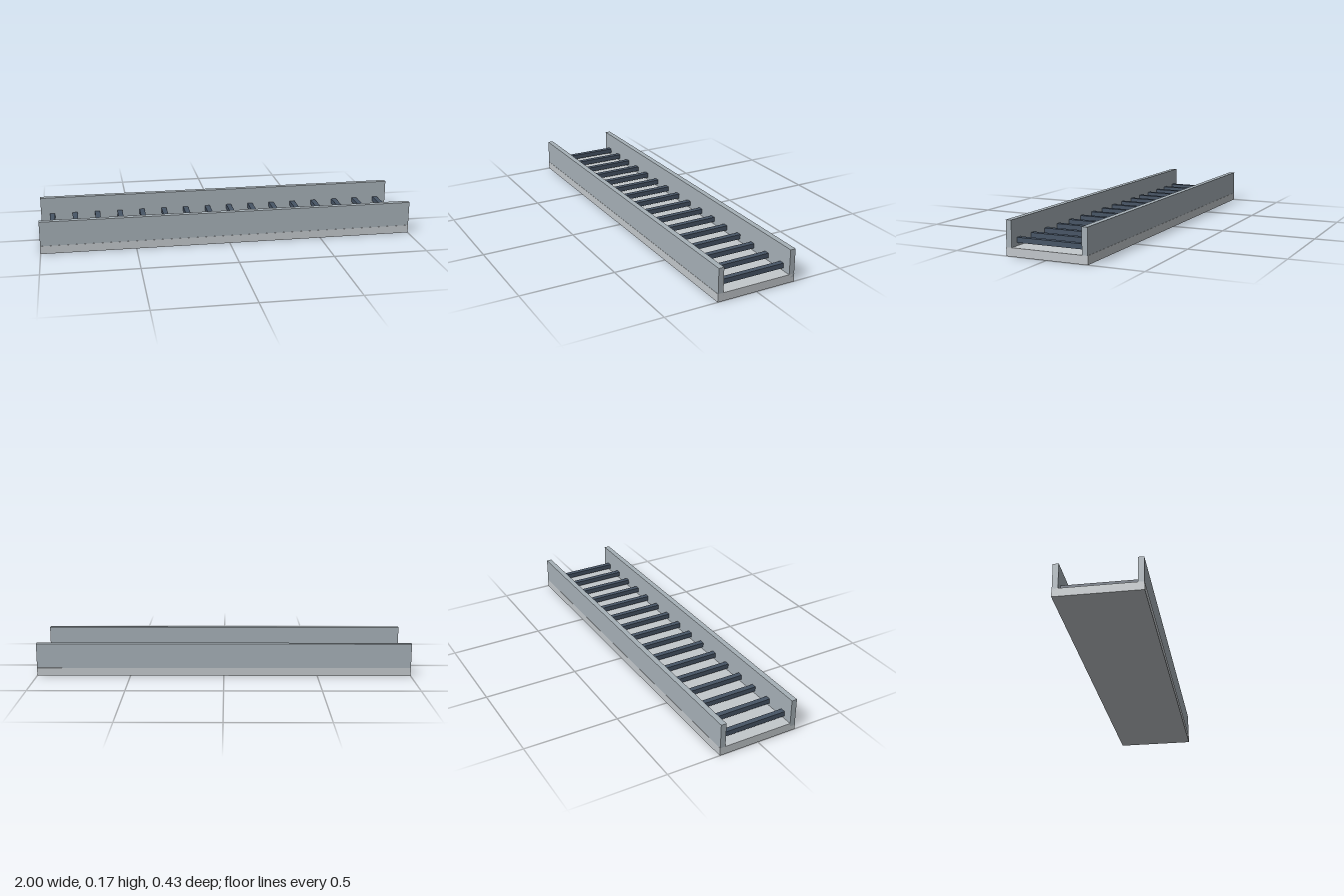
import * as THREE from 'three';

const material = (color) => new THREE.MeshStandardMaterial({ color });

export function createModel() {
  const model = new THREE.Group();
  model.name = 'rollerConveyorBed';

  const addBox = (name, size, position, mat) => {
    const mesh = new THREE.Mesh(new THREE.BoxGeometry(...size), mat);
    mesh.name = name;
    mesh.position.set(...position);
    model.add(mesh);
  };

  const baseMat = material(0xc3c8cc);
  const railMat = material(0xa6b0b7);
  const rungMat = material(0x475566);

  // Flat bed
  addBox('base', [2, 0.043, 0.434], [0, 0.0215, 0], baseMat);

  // Side walls, slightly sunk into the bed
  for (const side of [1, -1]) {
    const name = side > 0 ? 'frontRail' : 'backRail';
    addBox(name, [2, 0.149, 0.029], [0, 0.1005, side * 0.2012], railMat);
  }

  // Evenly spaced cross bars between the walls
  const count = 16;
  const spacing = 2 / count;
  for (let i = 0; i < count; i++) {
    const x = -1 + spacing * (i + 0.5);
    addBox(`crossBar${i + 1}`, [0.028, 0.026, 0.374], [x, 0.071, 0], rungMat);
  }

  return model;
}
